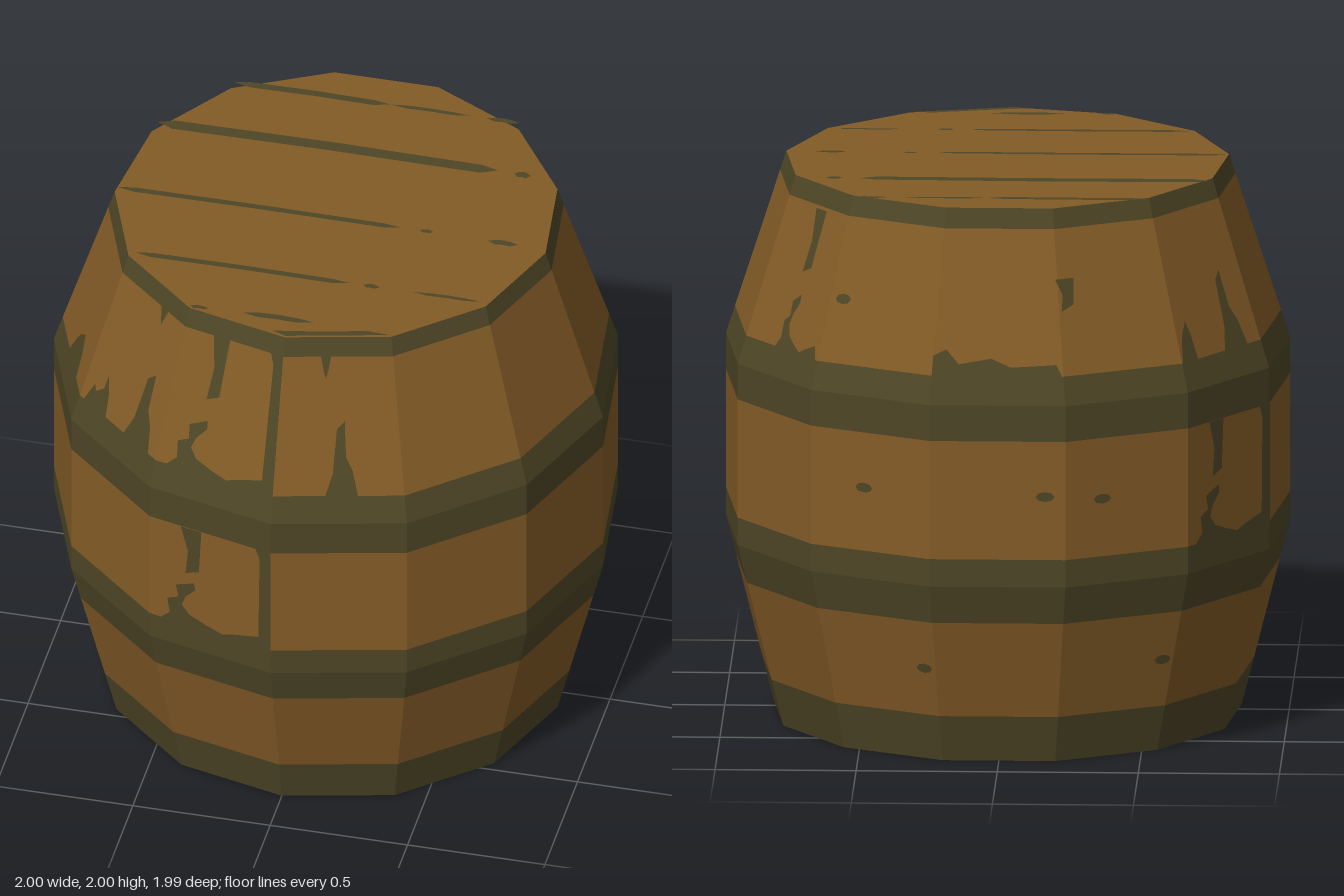
import * as THREE from 'three';
import { mergeGeometries } from 'three/addons/utils/BufferGeometryUtils.js';

const SIDES = 13;
const STEP = (Math.PI * 2) / SIDES;
const Z_SHIFT = -0.015; // centres the odd-sided outline
const PROFILE = [[0, 0.836], [0.67, 1.007], [1.33, 1.007], [2, 0.79]]; // [height, radius]

const wood = new THREE.MeshStandardMaterial({ color: 0x845c27 });
wood.name = 'wood';
const moss = new THREE.MeshStandardMaterial({ color: 0x4e4626 });
moss.name = 'mossy hoop';

function radiusAt(y) {
  for (let i = 1; i < PROFILE.length; i++) {
    const [y0, r0] = PROFILE[i - 1], [y1, r1] = PROFILE[i];
    if (y <= y1) return r0 + ((r1 - r0) * (y - y0)) / (y1 - y0);
  }
  return PROFILE[PROFILE.length - 1][1];
}

// Flat-sided open ring between heights, split where the profile bends
function ring(y0, y1) {
  const cuts = [y0, ...PROFILE.map(p => p[0]).filter(y => y > y0 && y < y1), y1];
  const parts = cuts.slice(1).map((top, i) => {
    const low = cuts[i];
    const g = new THREE.CylinderGeometry(radiusAt(top), radiusAt(low), top - low, SIDES, 1, true);
    return g.translate(0, (top + low) / 2, 0).toNonIndexed();
  });
  const g = mergeGeometries(parts);
  g.computeVertexNormals();
  return g;
}

// Painted patch on one stave: points are [across 0..1, height]
function patch(stave, points) {
  const g = new THREE.ShapeGeometry(new THREE.Shape(points.map(p => new THREE.Vector2(...p))));
  const pos = g.attributes.position;
  const a = stave * STEP, b = a + STEP;
  for (let i = 0; i < pos.count; i++) {
    const u = pos.getX(i), y = pos.getY(i), r = radiusAt(y) + 0.003;
    pos.setXYZ(i,
      r * (Math.sin(a) * (1 - u) + Math.sin(b) * u), y,
      r * (Math.cos(a) * (1 - u) + Math.cos(b) * u));
  }
  const out = g.toNonIndexed();
  out.computeVertexNormals();
  return out;
}

// Patch shapes
const knot = (u, y) => Array.from({ length: 8 }, (_, i) => {
  const t = (i * Math.PI) / 4;
  return [u + 0.07 * Math.cos(t), y + 0.018 * Math.sin(t)];
});
const seam = (y0, y1) => [[0.89, y0], [1, y0], [1, y1], [0.87, y1], [0.91, y1 - 0.05], [0.9, y0 + 0.06]];
const drip = (u, top, end, w) => [[u - w, top], [u - w * 0.4, end + 0.03], [u, end], [u + w * 0.4, end + 0.03], [u + w, top]];
const peak = (u, base, tip, w) => [[u - w, base], [u + w, base], [u + w * 0.7, base + 0.1], [u + w * 0.3, base + 0.15],
  [u + w * 0.25, tip], [u - w * 0.25, tip - 0.03], [u - w * 0.5, base + 0.09]];
const streak = (u, y0, y1) => [[u, y0], [u + 0.11, y0 + 0.02], [u + 0.13, y1], [u - 0.04, y1], [u + 0.02, (y0 + y1) / 2]];
const hook = y => [[0.08, y], [0.97, y], [0.9, y + 0.05], [0.72, y + 0.03], [0.6, y + 0.012], [0.47, y + 0.03],
  [0.33, y + 0.055], [0.27, y + 0.09], [0.3, y + 0.13], [0.38, y + 0.17], [0.37, y + 0.2], [0.22, y + 0.17],
  [0.24, y + 0.12], [0.15, y + 0.1], [0.17, y + 0.04]];

const STAINS = [
  [12, seam(1.42, 1.94)], [12, streak(0.33, 1.7, 1.94)], [12, hook(1.425)],
  [12, seam(0.76, 1.21)], [12, streak(0.3, 1.0, 1.2)], [12, hook(0.765)],
  [0, drip(0.39, 1.94, 1.85, 0.05)], [0, peak(0.52, 1.42, 1.7, 0.13)],
  [11, drip(0.68, 1.94, 1.87, 0.06)], [11, peak(0.74, 1.42, 1.7, 0.17)], [11, peak(0.2, 1.42, 1.52, 0.15)],
  [10, peak(0.6, 1.42, 1.57, 0.2)],
  [4, streak(0.52, 1.7, 1.92)], [4, hook(1.425).map(([u, y]) => [0.35 + u * 0.65, y])],
  [6, [[0, 1.42], [1, 1.42], [0.95, 1.47], [0.6, 1.46], [0.45, 1.49], [0.2, 1.47], [0.1, 1.52], [0, 1.5]]],
  [7, streak(0.02, 1.65, 1.76)],
  [8, peak(0.1, 1.42, 1.56, 0.1)], [8, peak(0.68, 1.42, 1.7, 0.15)],
  [8, seam(0.76, 1.21)], [8, streak(0.3, 1.0, 1.2)], [8, hook(0.765)],
  [3, knot(0.82, 0.36)], [5, knot(0.45, 1.0)], [5, knot(0.9, 0.35)], [5, knot(0.12, 1.65)],
  [6, knot(0.85, 1.0)], [7, knot(0.3, 0.98)], [7, knot(0.9, 0.35)],
];

// Lid grooves: [x start, x end, z, width]
const GROOVES = [
  [-0.52, 0.05, -0.64, 0.034], [0.05, 0.34, -0.64, 0.02], [0.4, 0.52, -0.64, 0.025],
  [-0.73, 0.51, -0.35, 0.055], [0.57, 0.63, -0.345, 0.035],
  [-0.78, 0.25, 0.055, 0.028], [0.32, 0.37, 0.055, 0.02], [0.57, 0.68, 0.06, 0.03],
  [-0.63, 0.15, 0.415, 0.028], [0.2, 0.26, 0.415, 0.025], [0.38, 0.63, 0.415, 0.018],
  [-0.37, -0.3, 0.675, 0.02], [-0.18, 0.08, 0.67, 0.03],
];

// Flat plate on the lid from [x, z] points
function lidPlate(points) {
  const shape = new THREE.Shape(points.map(([x, z]) => new THREE.Vector2(x, -z)));
  return new THREE.ShapeGeometry(shape).rotateX(-Math.PI / 2).translate(0, 2.003, 0);
}
function groove([x0, x1, z, w]) {
  const d = Math.min(0.06, (x1 - x0) / 4), h = w / 2;
  return lidPlate([[x0, z], [x0 + d, z + h], [(x0 + x1) / 2, z + h * 0.8], [x1 - d, z + h],
    [x1, z], [x1 - d, z - h * 0.7], [(x0 + x1) / 2, z - h], [x0 + d, z - h * 0.8]]);
}

export function createModel() {
  const model = new THREE.Group();
  model.name = 'barrel';
  const body = new THREE.Group();
  body.name = 'body';
  body.position.z = Z_SHIFT;
  model.add(body);
  const add = (parent, name, geometry, material) => {
    const mesh = new THREE.Mesh(geometry, material);
    mesh.name = name;
    parent.add(mesh);
  };

  // Hoops and the wooden staves between them
  [[0, 0.17], [0.53, 0.77], [1.2, 1.43], [1.93, 2]].forEach(([a, b], i) => add(body, `hoop${i + 1}`, ring(a, b), moss));
  [[0.17, 0.53], [0.77, 1.2], [1.43, 1.93]].forEach(([a, b], i) => add(body, `staves${i + 1}`, ring(a, b), wood));

  // Lid and base
  add(body, 'lid', new THREE.CircleGeometry(0.79, SIDES, -Math.PI / 2).rotateX(-Math.PI / 2).translate(0, 2, 0), wood);
  add(body, 'base', new THREE.CircleGeometry(0.836, SIDES, Math.PI / 2).rotateX(Math.PI / 2), wood);

  // Painted stains, knots and lid grooves
  add(body, 'staveStains', mergeGeometries(STAINS.map(([s, p]) => patch(s, p))), moss);
  add(model, 'lidGrooves', mergeGeometries(GROOVES.map(groove)), moss);
  add(model, 'lidEdgeStain', lidPlate([[-0.05, 0.75], [0, 0.77], [0.36, 0.68], [0.28, 0.675], [0.1, 0.72]]), moss);
  return model;
}
